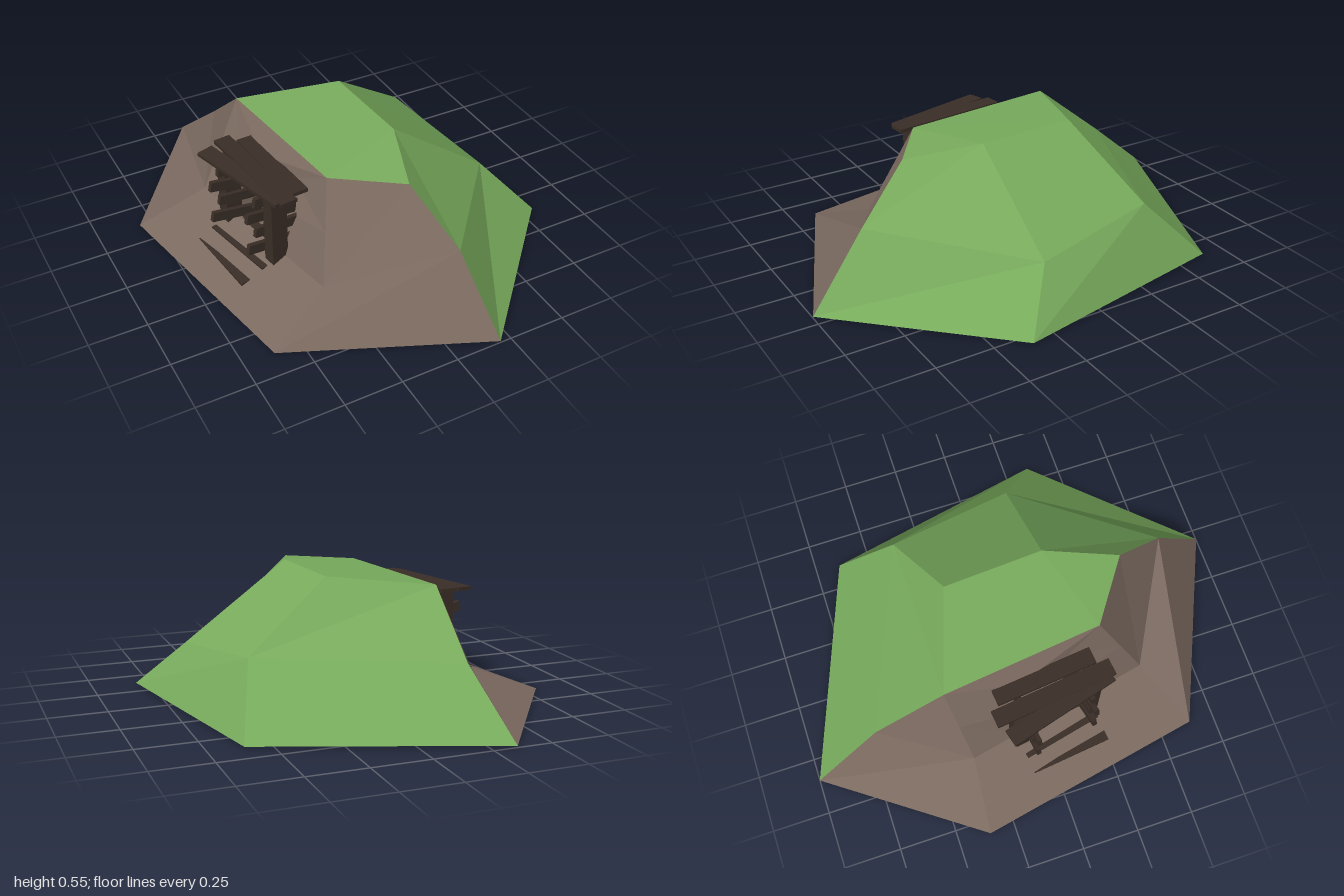
import * as THREE from 'three';

const mat = (color) => new THREE.MeshStandardMaterial({ color, flatShading: true, side: THREE.DoubleSide });

// Triangle fan for each polygon, unshared corners for flat facets
function facets(name, polygons, material) {
  const pos = [];
  for (const p of polygons)
    for (let i = 1; i < p.length - 1; i++) pos.push(...p[0], ...p[i], ...p[i + 1]);
  const geo = new THREE.BufferGeometry();
  geo.setAttribute('position', new THREE.Float32BufferAttribute(pos, 3));
  geo.computeVertexNormals();
  const mesh = new THREE.Mesh(geo, material);
  mesh.name = name;
  return mesh;
}

const mix = (a, b, t = 0.5) => a.map((v, i) => v + (b[i] - v) * t);

// Closed strip of quads between two loops of equal length
const strip = (a, b) => a.map((p, i) => {
  const j = (i + 1) % a.length;
  return [p, a[j], b[j], b[i]];
});

export function createModel() {
  const group = new THREE.Group();
  const grass = mat(0x78ab5c), rock = mat(0x7b6a60), wood = mat(0x3a2e27);

  // Hill rings: foot, shoulder and crown
  const foot = [[-0.35, -1], [0.61, -0.64], [0.81, 0.36], [0.2, 1], [-0.62, 0.64], [-0.81, -0.36]]
    .map(([x, z]) => [x, 0.01, z]);
  const mid = [[-0.29, 0.26, -0.7], [0.51, 0.28, -0.38], [0.62, 0.22, 0.19],
    [0.15, 0.31, 0.75], [-0.33, 0.12, 0.5], [-0.5, 0.13, -0.33]];
  const top = [[-0.3, 0.515, -0.385], [0.135, 0.555, -0.245], [0.16, 0.555, 0.195],
    [0.05, 0.515, 0.51], [-0.22, 0.515, 0.32]];
  const side = (lo, hi, i) => {
    const j = (i + 1) % 6;
    return [lo[j], lo[i], hi[i], hi[j]];
  };

  // Grass slopes and crown
  const green = [[...top].reverse()];
  for (let i = 0; i < 3; i++) green.push(side(foot, mid, i), side(mid, top, i));
  group.add(facets('grassSlopes', green, grass));

  // Bare rock slopes
  const brown = [3, 4, 5].map((i) => side(foot, mid, i));
  brown.push(side(mid, top, 3), [mid[0], mid[5], top[0]]);

  // Rock face pierced by the cave mouth
  const face = [mid[4], mix(mid[4], top[4]), top[4], top[0], mix(mid[5], top[0]), mid[5]];
  const mouth = [[-0.39, 0.11, 0.22], [-0.32, 0.3, 0.24], [-0.28, 0.42, 0.15],
    [-0.33, 0.42, -0.07], [-0.4, 0.28, -0.14], [-0.45, 0.12, -0.12]];
  brown.push(...strip(face, mouth));
  group.add(facets('rockSlopes', brown, rock));

  // Cave tunnel and its back wall
  const bend = [[-0.15, 0.09, 0.18], [-0.14, 0.27, 0.22], [-0.14, 0.43, 0.12],
    [-0.16, 0.43, -0.11], [-0.18, 0.27, -0.18], [-0.17, 0.09, -0.15]];
  const end = [[0.06, 0.08, 0.11], [0.07, 0.25, 0.17], [0.06, 0.4, 0.08],
    [0.03, 0.4, -0.12], [0.02, 0.24, -0.18], [0.03, 0.08, -0.13]];
  group.add(facets('caveTunnel', [...strip(mouth, bend), ...strip(bend, end), end], rock));

  // Timber entrance, turned to face out of the rock
  const frame = new THREE.Group();
  frame.name = 'timberEntrance';
  frame.position.set(-0.437, 0, 0.055);
  frame.rotation.y = 0.165;
  group.add(frame);
  const plank = (name, [w, h, d], [x, y, z], [rx, ry, rz] = [0, 0, 0]) => {
    const m = new THREE.Mesh(new THREE.BoxGeometry(w, h, d), wood);
    m.name = name;
    m.position.set(x, y, z);
    m.rotation.set(rx, ry, rz);
    frame.add(m);
  };

  for (const s of [-1, 1]) {
    plank('post', [0.075, 0.43, 0.06], [0, 0.218, s * 0.172]);
    // Side boards behind each post
    [0.385, 0.315, 0.235, 0.155].forEach((y, i) =>
      plank('sideBoard', [0.23 + 0.02 * (i % 2), 0.045, 0.02],
        [0.015 + (i % 2 ? -0.01 : 0.02), y, s * 0.132], [0, s * 0.04, -0.16 - 0.05 * (i % 2)]));
  }
  // Roof boards: offset, length, yaw
  [[-0.04, 0.5, 0.1, 0.444], [0.02, 0.54, -0.05, 0.448], [0.105, 0.45, -0.06, 0.436]]
    .forEach(([x, len, yaw, y], i) =>
      plank('roofBoard', [0.075, 0.016, len], [x, y, 0], [0.01 * (i - 1), yaw, 0.03 * (1 - i)]));
  // Floor boards climbing into the cave
  [[-0.145, 0.052, -0.05], [-0.06, 0.085, 0.05], [0.03, 0.11, -0.04]].forEach(([x, y, yaw]) =>
    plank('floorBoard', [0.06, 0.016, 0.36], [x, y, 0], [0, yaw, 0.06]));

  return group;
}
